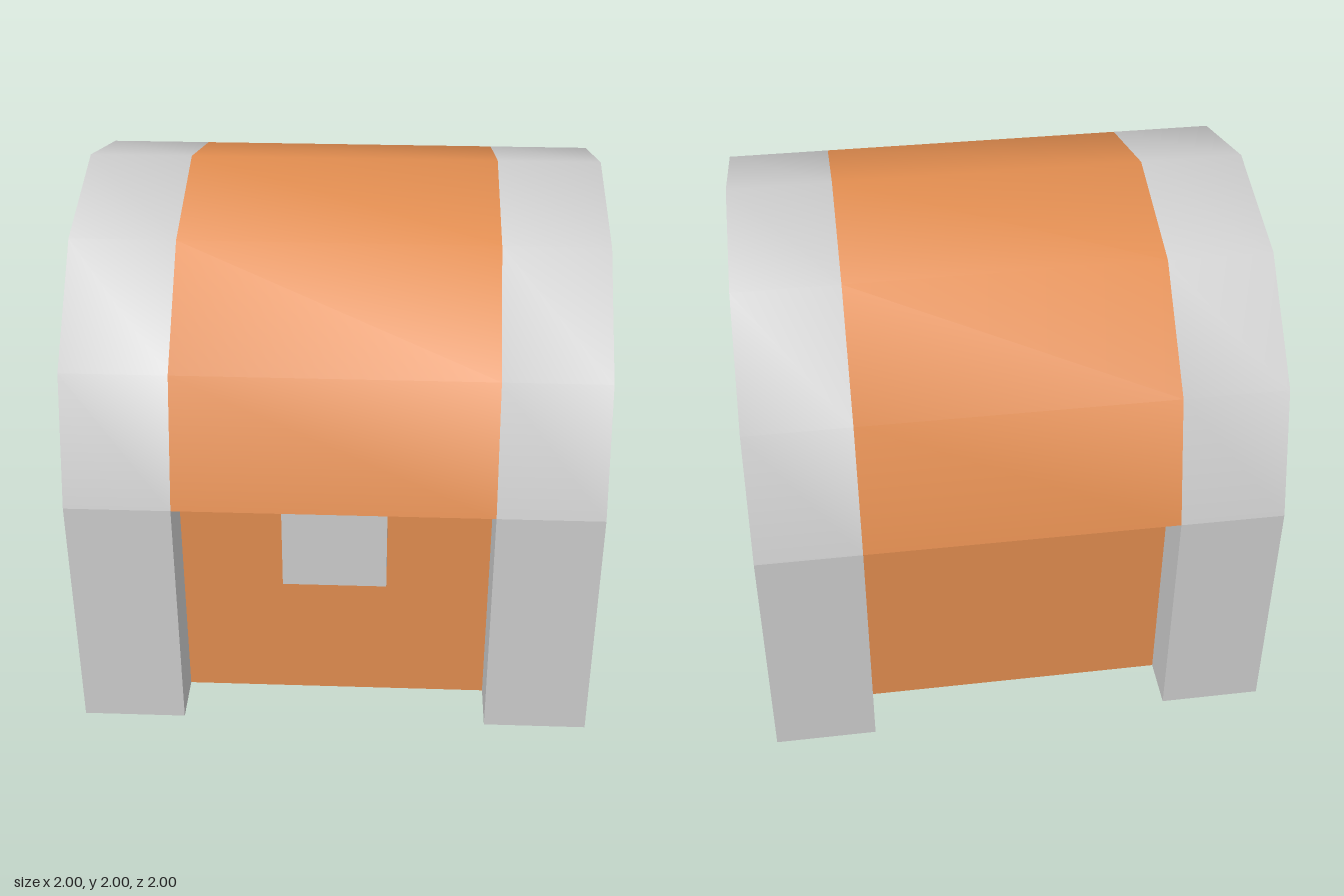
import * as THREE from 'three';

const grey = new THREE.MeshStandardMaterial({ color: 0xcccccc });
const greyInside = new THREE.MeshStandardMaterial({ color: 0xcccccc, side: THREE.BackSide });
const orange = new THREE.MeshStandardMaterial({ color: 0xe08c4f });

const SPRING = 1; // height where the arches start

function add(parent, name, geometry, material, x = 0, y = 0, z = 0) {
  const mesh = new THREE.Mesh(geometry, material);
  mesh.name = name;
  mesh.position.set(x, y, z);
  parent.add(mesh);
  return mesh;
}

// Points of a half circle, from one springing point over the top to the other
function arc(radius, segments) {
  return Array.from({ length: segments + 1 }, (_, i) => {
    const a = (i / segments) * Math.PI;
    return new THREE.Vector2(radius * Math.cos(a), SPRING + radius * Math.sin(a));
  });
}

// Smooth open half cylinder lying along x
function vault(radius, segments, length) {
  const g = new THREE.CylinderGeometry(radius, radius, length, segments, 1, true, 0, Math.PI);
  g.rotateZ(Math.PI / 2);
  g.computeVertexNormals();
  return g;
}

export function createModel() {
  const chest = new THREE.Group();
  chest.name = 'chest';

  // Body: arched core seen through the end frames, widened to the front and back
  const corePoints = [new THREE.Vector2(0.6, 0), ...arc(0.6, 4), new THREE.Vector2(-0.6, 0)];
  const core = new THREE.ExtrudeGeometry(new THREE.Shape(corePoints), { depth: 1.6, bevelEnabled: false });
  core.rotateY(Math.PI / 2).translate(-0.8, 0, 0);
  add(chest, 'bodyCore', core, orange);
  add(chest, 'bodyWalls', new THREE.BoxGeometry(1.2, 1, 1.6), orange, 0, 0.5, 0);

  // Rounded lid with grey rims underneath
  add(chest, 'lid', vault(1, 6, 1.2), orange, 0, SPRING, 0);
  for (const s of [-1, 1]) {
    add(chest, 'lidRim', new THREE.PlaneGeometry(1.2, 0.2).rotateX(Math.PI / 2), grey, 0, SPRING, s * 0.9);
  }

  // End frames: two legs carrying an arch
  const archShape = new THREE.Shape([...arc(1, 6), ...arc(0.6, 4).reverse()]);
  for (const s of [-1, 1]) {
    const frame = new THREE.Group();
    frame.name = s > 0 ? 'leftFrame' : 'rightFrame';
    add(frame, 'archTop', vault(1, 6, 0.4), grey, s * 0.8, SPRING, 0);
    add(frame, 'archInside', vault(0.6, 4, 0.4), greyInside, s * 0.8, SPRING, 0);
    add(frame, 'archFace', new THREE.ShapeGeometry(archShape).rotateY((s * Math.PI) / 2), grey, s, 0, 0);
    for (const z of [-0.8, 0.8]) {
      add(frame, 'leg', new THREE.BoxGeometry(0.4, SPRING, 0.4), grey, s * 0.8, SPRING / 2, z);
    }
    chest.add(frame);
  }

  // Lock plate on the front
  add(chest, 'lock', new THREE.BoxGeometry(0.4, 0.4, 0.1), grey, 0, 0.8, 0.85);

  return chest;
}
